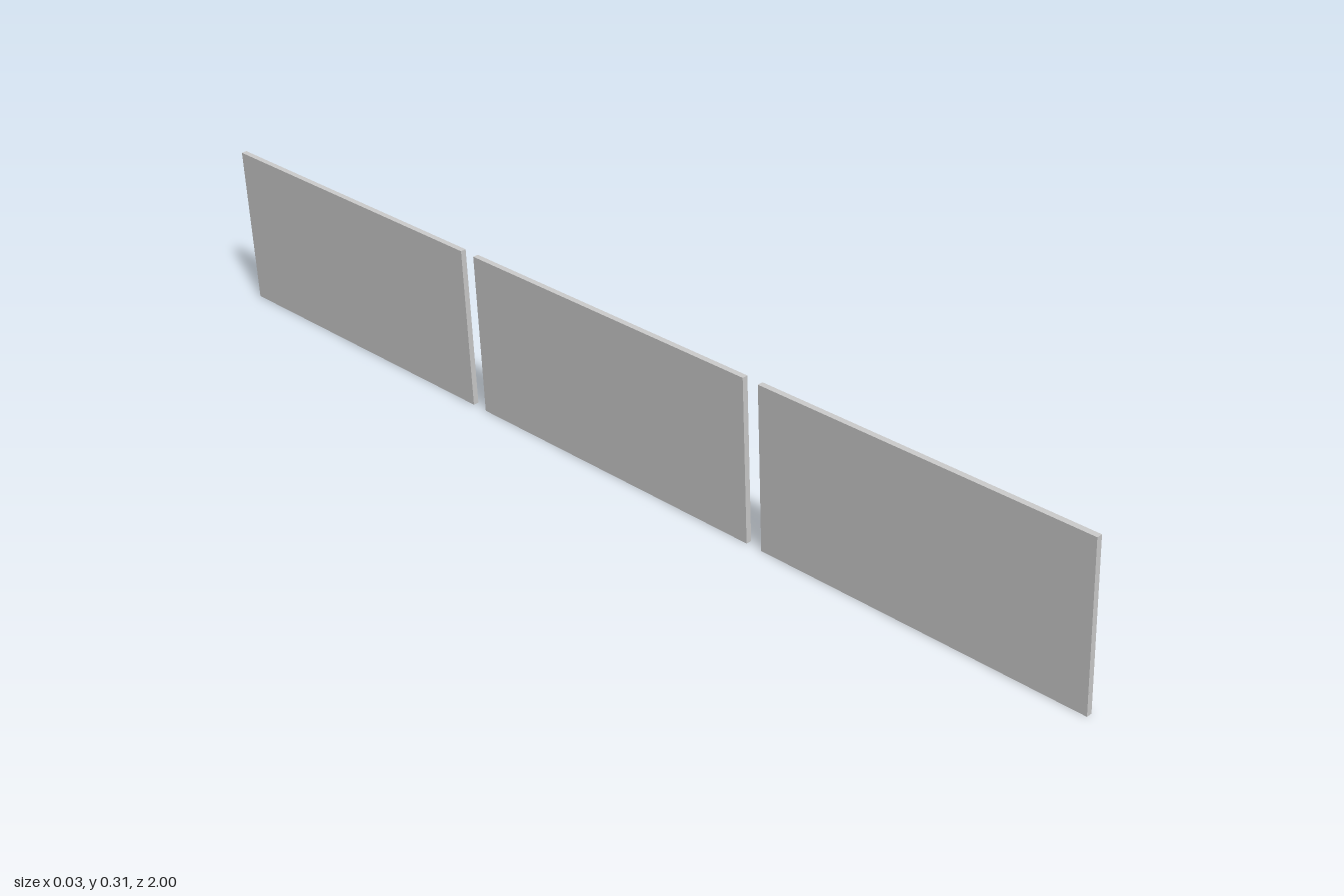
import * as THREE from 'three';

const LENGTH = 0.645, HEIGHT = 0.305, DEPTH = 0.0105, SHEET = 0.002, LIP = 0.0025;
const TILT = 0.0645, SPACING = 0.6775;
const grey = new THREE.MeshStandardMaterial({ color: 0xcccccc, flatShading: true });

function addBox(parent, name, size, position) {
  const mesh = new THREE.Mesh(new THREE.BoxGeometry(...size), grey);
  mesh.name = name;
  mesh.position.set(...position);
  parent.add(mesh);
}

// Rectangle with cut corners, centred on the origin
function cutRectangle(Type, w, h, c) {
  const x = w / 2, y = h / 2;
  return new Type([
    [-x + c, -y], [x - c, -y], [x, -y + c], [x, y - c],
    [x - c, y], [-x + c, y], [-x, y - c], [-x, -y + c],
  ].map(([a, b]) => new THREE.Vector2(a, b)));
}

// Hollow pull: a cut-corner ring with a sloping sill inside
function createHandle() {
  const handle = new THREE.Group();
  handle.name = 'handle';
  const w = 0.046, h = 0.084, depth = 0.0165, wall = 0.003;

  const outline = cutRectangle(THREE.Shape, w, h, 0.006);
  outline.holes.push(cutRectangle(THREE.Path, w - 2 * wall, h - 2 * wall, 0.005));
  const ring = new THREE.Mesh(
    new THREE.ExtrudeGeometry(outline, { depth, bevelEnabled: false }).rotateY(Math.PI / 2), grey);
  ring.name = 'handleRing';
  handle.add(ring);

  const bottom = -h / 2 + wall / 2;
  const wedge = new THREE.Shape([
    new THREE.Vector2(0.001, bottom),
    new THREE.Vector2(depth - 0.0005, bottom),
    new THREE.Vector2(depth - 0.0005, bottom + 0.002),
    new THREE.Vector2(0.001, bottom + 0.014),
  ]);
  const sillWidth = w - 2 * wall;
  const sill = new THREE.Mesh(
    new THREE.ExtrudeGeometry(wedge, { depth: sillWidth, bevelEnabled: false })
      .translate(0, 0, -sillWidth / 2), grey);
  sill.name = 'handleSill';
  handle.add(sill);

  handle.position.set(0, 0.021 + h / 2, 0);
  return handle;
}

// Shallow tray: flat sheet with a lip folded round all four edges
function createPanel() {
  const panel = new THREE.Group();
  panel.name = 'panel';
  addBox(panel, 'sheet', [SHEET, HEIGHT, LENGTH], [SHEET / 2, HEIGHT / 2, 0]);
  const lipDepth = DEPTH - SHEET, x = SHEET + lipDepth / 2;
  addBox(panel, 'bottomLip', [lipDepth, LIP, LENGTH], [x, LIP / 2, 0]);
  addBox(panel, 'topLip', [lipDepth, LIP, LENGTH], [x, HEIGHT - LIP / 2, 0]);
  for (const s of [-1, 1]) {
    addBox(panel, 'endLip', [lipDepth, HEIGHT - 2 * LIP, LIP],
      [x, HEIGHT / 2, s * (LENGTH - LIP) / 2]);
  }
  panel.add(createHandle());
  return panel;
}

export function createModel() {
  const model = new THREE.Group();
  model.name = 'panelRow';
  for (const i of [-1, 0, 1]) {
    const panel = createPanel();
    panel.position.set(0.002, 0, i * SPACING);
    panel.rotation.z = TILT;
    model.add(panel);
  }
  return model;
}
